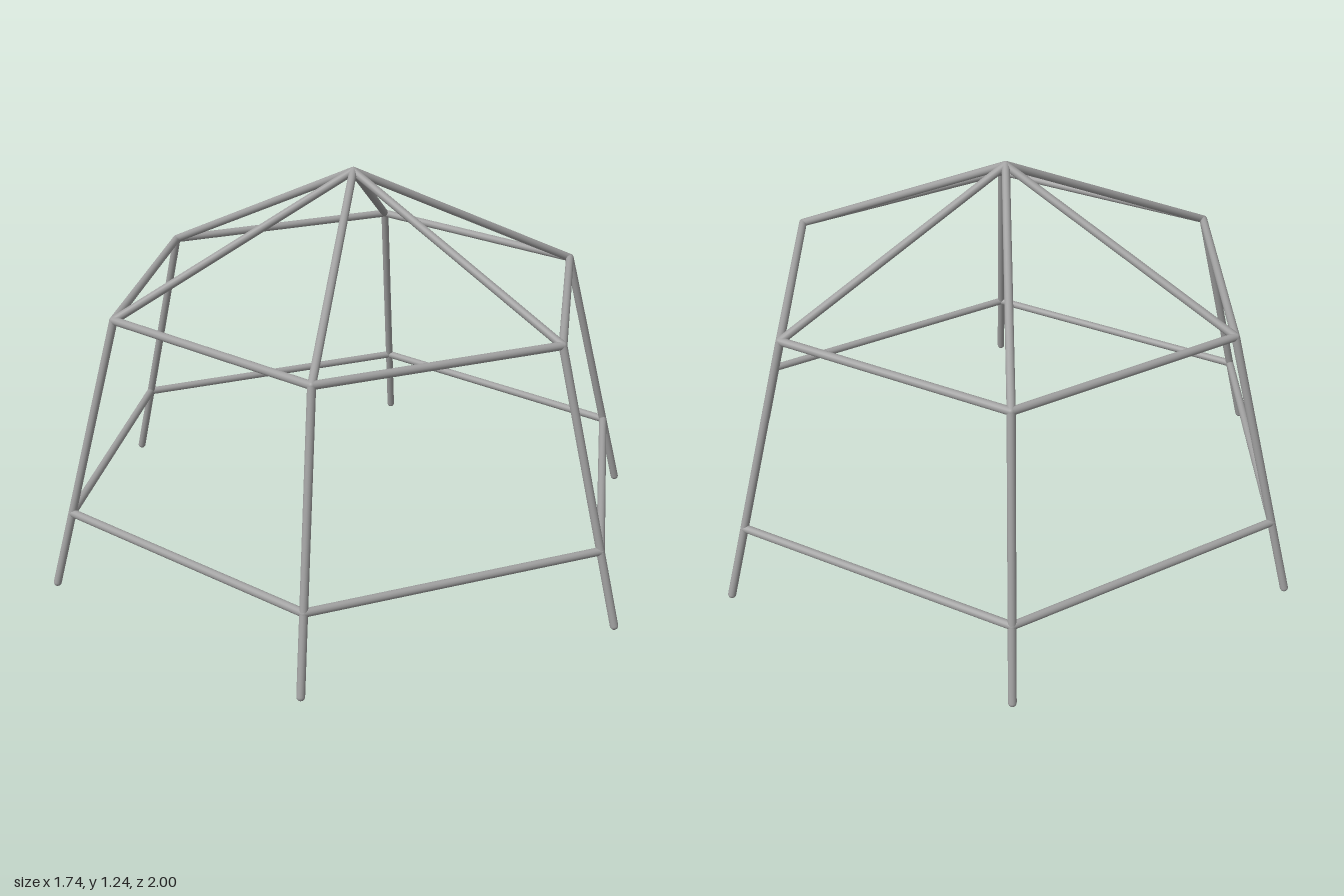
import * as THREE from 'three';

const R = 0.0125; // tube radius
const steel = new THREE.MeshStandardMaterial({ color: 0xa0a0a0 });
steel.name = 'grey steel';

// Round-ended tube between two points
function bar(name, a, b) {
  const dir = b.clone().sub(a);
  const mesh = new THREE.Mesh(new THREE.CapsuleGeometry(R, dir.length(), 6, 16), steel);
  mesh.name = name;
  mesh.position.copy(a).add(b).multiplyScalar(0.5);
  mesh.quaternion.setFromUnitVectors(new THREE.Vector3(0, 1, 0), dir.normalize());
  return mesh;
}

// Point on the hexagonal plan, corner i, with corner 0 at the front
function corner(i, radius, y) {
  const a = (i * Math.PI) / 3;
  return new THREE.Vector3(Math.sin(a) * radius, y, Math.cos(a) * radius);
}

export function createModel() {
  const model = new THREE.Group();
  model.name = 'climbingDome';

  const apex = new THREE.Vector3(0, 1.229, 0);
  const foot = { r: 1 - R, y: R };
  const lower = { r: 0.926, y: 0.243 };
  const upper = { r: 0.762, y: 0.853 };

  for (let i = 0; i < 6; i++) {
    const top = corner(i, upper.r, upper.y);
    // Sloping leg and roof rafter at each corner
    model.add(bar('leg', corner(i, foot.r, foot.y), top));
    model.add(bar('rafter', top, apex));
    // Two horizontal hexagonal rings
    model.add(bar('upperRingBar', top, corner(i + 1, upper.r, upper.y)));
    model.add(bar('lowerRingBar', corner(i, lower.r, lower.y), corner(i + 1, lower.r, lower.y)));
  }
  return model;
}
